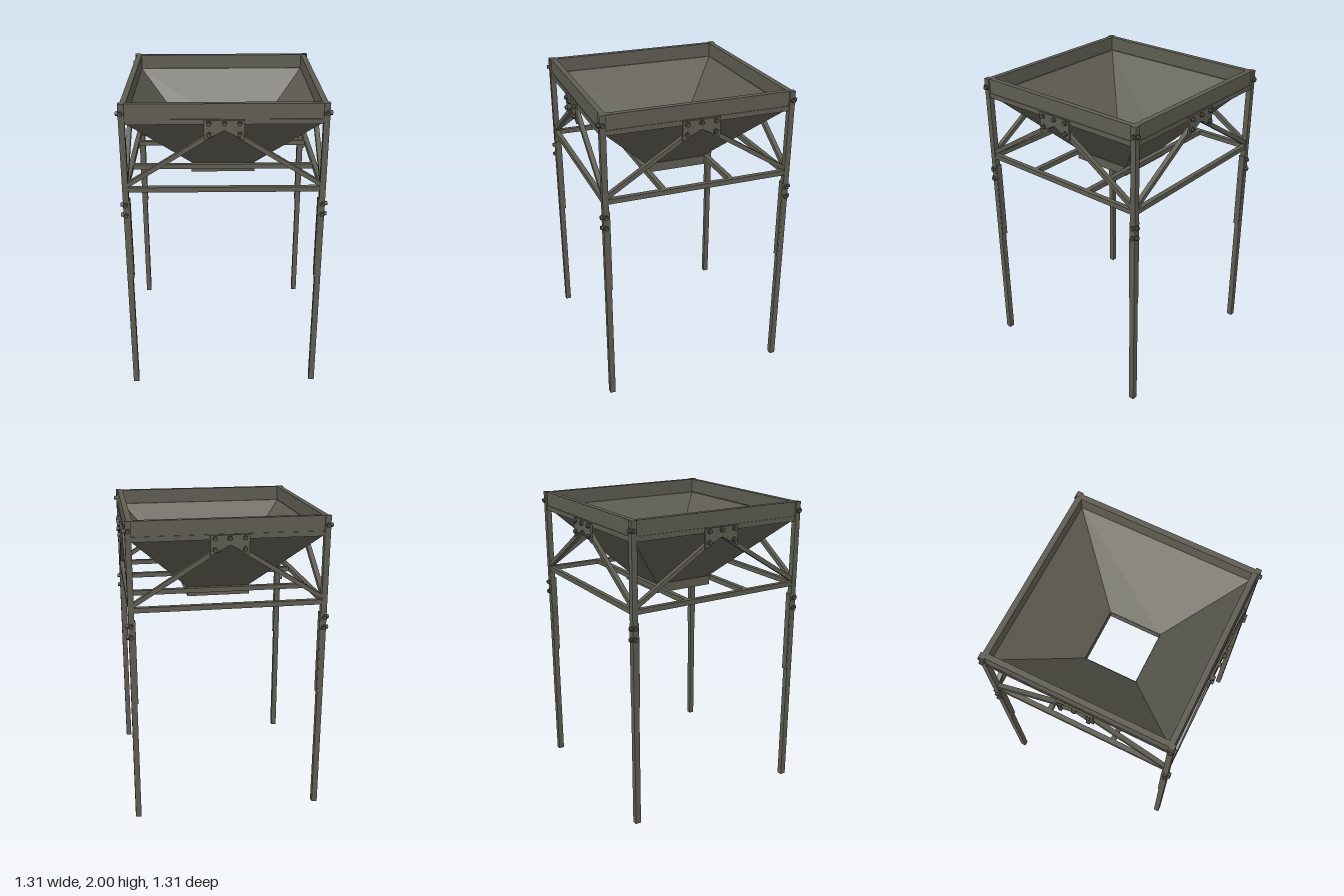
import * as THREE from 'three';

export function createModel() {
  const model = new THREE.Group();
  const steel = new THREE.MeshStandardMaterial({ color: 0x5f5d52 });
  steel.name = 'olive grey steel';
  const boltSteel = new THREE.MeshStandardMaterial({ color: 0x4e4d46 });
  boltSteel.name = 'dark bolt steel';

  const add = (parent, name, geometry, material, x = 0, y = 0, z = 0) => {
    const mesh = new THREE.Mesh(geometry, material);
    mesh.name = name;
    mesh.position.set(x, y, z);
    parent.add(mesh);
    return mesh;
  };
  const bar = (parent, name, w, h, d, x, y, z) =>
    add(parent, name, new THREE.BoxGeometry(w, h, d), steel, x, y, z);

  // Square sleeve from a closed profile of [half width, y] points
  const squareShell = (profile) => {
    const points = profile.map(([half, y]) => new THREE.Vector2(half * Math.SQRT2, y));
    points.push(points[0].clone());
    const geometry = new THREE.LatheGeometry(points, 4, Math.PI / 4).toNonIndexed();
    geometry.computeVertexNormals();
    return geometry;
  };

  // Hexagonal bolt head on a washer, facing +z
  const bolt = (parent, x, y, z) => {
    const washer = add(parent, 'washer', new THREE.CylinderGeometry(0.017, 0.017, 0.004, 12), boltSteel, x, y, z + 0.002);
    const head = add(parent, 'boltHead', new THREE.CylinderGeometry(0.014, 0.014, 0.013, 6), boltSteel, x, y, z + 0.0095);
    washer.rotation.x = head.rotation.x = Math.PI / 2;
  };

  // Hopper funnel and outlet
  add(model, 'hopper', squareShell([[0.195, 1.455], [0.597, 1.875], [0.597, 1.9], [0.583, 1.9], [0.183, 1.462]]), steel);
  add(model, 'outletCollar', squareShell([[0.21, 1.405], [0.21, 1.465], [0.183, 1.465], [0.183, 1.405]]), steel);

  // Gusset plate with a notch following the braces
  const gusset = new THREE.Shape([[-0.122, 1.775], [0, 1.84], [0.122, 1.775], [0.122, 1.903], [-0.122, 1.903]]
    .map(([x, y]) => new THREE.Vector2(x, y)));
  const gussetGeometry = new THREE.ExtrudeGeometry(gusset, { depth: 0.012, bevelEnabled: false });

  // Four identical sides, each with the leg at its right-hand corner
  for (let i = 0; i < 4; i++) {
    const side = new THREE.Group();
    side.name = 'frameSide' + (i + 1);
    side.rotation.y = i * Math.PI / 2;
    model.add(side);

    bar(side, 'leg', 0.037, 2, 0.037, 0.61, 1, 0.61);
    bar(side, 'legSleeve', 0.042, 0.55, 0.042, 0.606, 1.105, 0.606);
    bar(side, 'rimBoard', 1.19, 0.095, 0.036, 0, 1.9515, 0.6);
    bar(side, 'upperRail', 1.19, 0.032, 0.032, 0, 1.889, 0.607);
    bar(side, 'lowerRail', 1.19, 0.032, 0.032, 0, 1.451, 0.609);

    // Diagonal braces rising to the gusset
    for (const s of [-1, 1]) {
      const brace = bar(side, 'brace', 0.7, 0.028, 0.03, s * 0.299, 1.668, 0.609);
      brace.rotation.z = -s * Math.atan2(0.37, 0.59);
    }

    add(side, 'gussetPlate', gussetGeometry, steel, 0, 0, 0.626);
    for (const [x, y] of [[-0.093, 1.883], [0, 1.883], [0.093, 1.883], [-0.093, 1.814], [0.093, 1.814]]) {
      bolt(side, x, y, 0.638);
    }
    for (const s of [-1, 1]) {
      for (const y of [1.94, 1.35, 1.28]) bolt(side, s * 0.613, y, 0.6285);
    }
  }

  // Cross beams carrying the outlet
  for (const z of [-0.226, 0.226]) bar(model, 'crossBeam', 1.19, 0.032, 0.032, 0, 1.451, z);

  return model;
}
